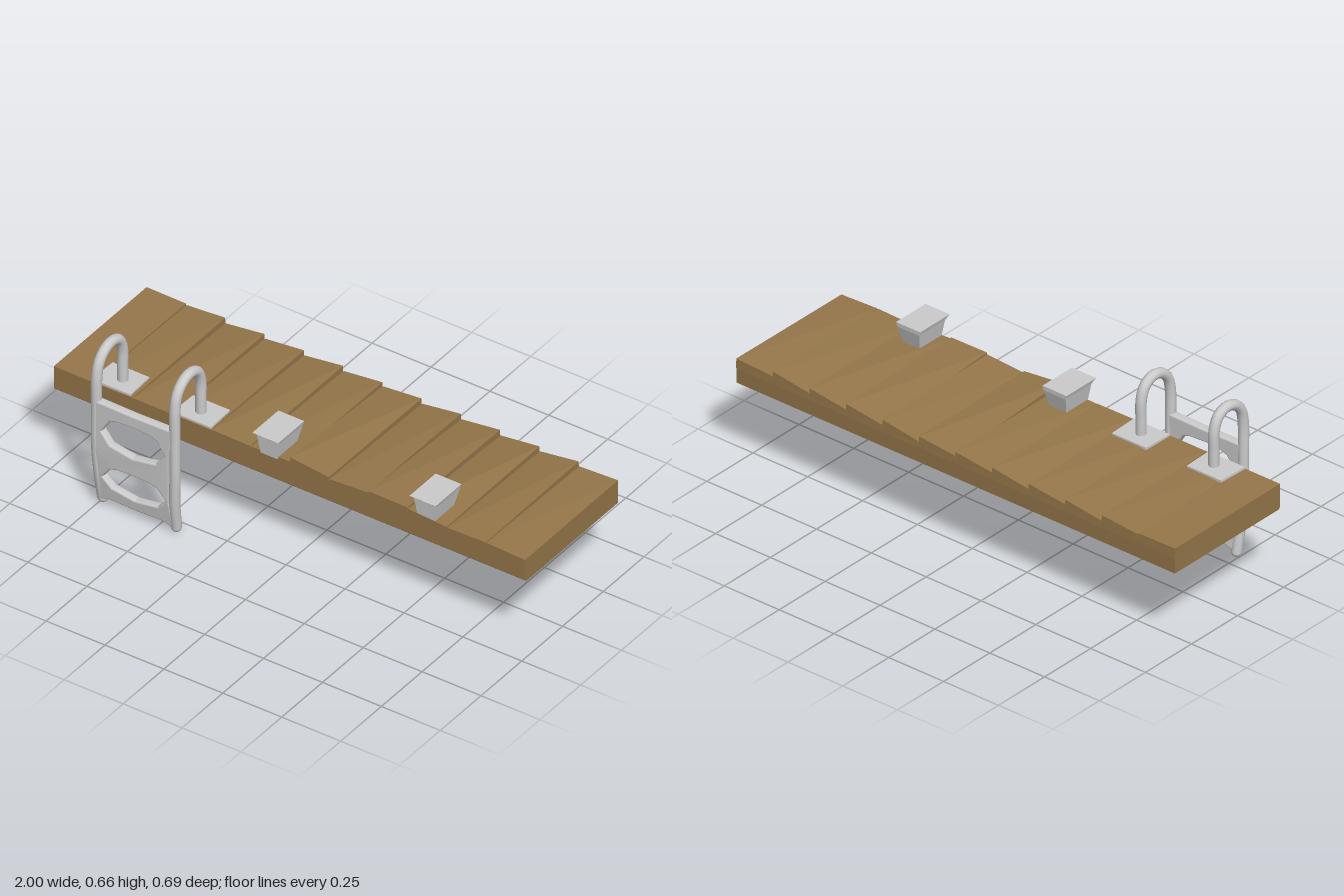
import * as THREE from 'three';

const grey = new THREE.MeshStandardMaterial({ color: 0xcccccc });
const greyFlat = new THREE.MeshStandardMaterial({ color: 0xcccccc, flatShading: true });
const wood = new THREE.MeshStandardMaterial({ color: 0x96774a, flatShading: true });

function add(parent, name, geometry, material) {
  const mesh = new THREE.Mesh(geometry, material);
  mesh.name = name;
  parent.add(mesh);
  return mesh;
}

// Unit box whose vertices are moved by rule(x, y, z), all inputs in -0.5..0.5
function shapedBox(rule, ySegments = 1) {
  const g = new THREE.BoxGeometry(1, 1, 1, 1, ySegments, 1);
  const p = g.attributes.position;
  for (let i = 0; i < p.count; i++) p.setXYZ(i, ...rule(p.getX(i), p.getY(i), p.getZ(i)));
  const flat = g.toNonIndexed();
  flat.computeVertexNormals();
  return flat;
}

// Depth of the ladder's outer rails at a given height
const railZ = y => y < 0.27 ? 0.302 + 0.025 * Math.sin(Math.max(y, 0) / 0.27 * Math.PI / 2) : 0.327;

const FRONT = 0.23, BACK = -0.34;

function createDeck() {
  const deck = new THREE.Group();
  deck.name = 'deck';

  // Solid body with a small chamfer along the lower front edge
  const side = new THREE.Shape([
    [-FRONT, 0.338], [-FRONT + 0.008, 0.33], [-BACK, 0.33], [-BACK, 0.405], [-FRONT, 0.424],
  ].map(([z, y]) => new THREE.Vector2(z, y)));
  const body = new THREE.ExtrudeGeometry(side, { depth: 2, bevelEnabled: false });
  body.rotateY(Math.PI / 2).translate(-1, 0, 0);
  add(deck, 'deckBody', body, wood);

  // Warped planks: heights at front left, front right, back left, back right as seen from the front
  const heights = [
    [0.432, 0.432, 0.432, 0.430], [0.432, 0.434, 0.425, 0.438], [0.434, 0.434, 0.415, 0.437],
    [0.434, 0.434, 0.418, 0.436], [0.436, 0.434, 0.415, 0.438], [0.433, 0.436, 0.417, 0.436],
    [0.455, 0.437, 0.420, 0.435], [0.430, 0.440, 0.414, 0.438], [0.447, 0.445, 0.416, 0.438],
    [0.440, 0.430, 0.415, 0.436], [0.428, 0.432, 0.416, 0.440], [0.432, 0.425, 0.420, 0.428],
  ];
  const width = 2 / heights.length;
  heights.forEach(([fl, fr, bl, br], i) => {
    const x0 = -1 + i * width;
    add(deck, 'plank', shapedBox((x, y, z) => {
      const top = z > 0 ? (x < 0 ? fl : fr) : (x < 0 ? bl : br);
      const gap = (x < 0 && i > 0) ? 0.003 : 0;
      return [x0 + (x + 0.5) * width + gap, y > 0 ? top : 0.39,
        z > 0 ? FRONT : BACK - (y > 0 ? 0 : 0.002)];
    }), wood);
  });
  return deck;
}

function createLadder() {
  const ladder = new THREE.Group();
  ladder.name = 'ladder';

  // Bent handrails with rounded feet, leaning slightly together at the bottom
  for (const s of [-1, 1]) {
    const at = (y, z, dx = 0) => new THREE.Vector3(-0.585 + s * (0.166 - dx), y, z);
    const path = new THREE.CatmullRomCurve3([
      at(0.02, 0.303, 0.01), at(0.13, railZ(0.13), 0.006), at(0.25, 0.326), at(0.4, 0.327),
      at(0.55, 0.326), at(0.6, 0.313), at(0.635, 0.28), at(0.647, 0.235),
      at(0.628, 0.19), at(0.58, 0.169), at(0.5, 0.167), at(0.42, 0.167),
    ]);
    add(ladder, 'handrail', new THREE.TubeGeometry(path, 48, 0.02, 10), grey);
    const foot = add(ladder, 'railFoot', new THREE.SphereGeometry(0.02, 10, 8), grey);
    foot.position.copy(at(0.021, 0.303, 0.01));

    // Mounting plate on the deck
    const cx = s < 0 ? -0.76 : -0.418;
    add(ladder, 'mountingPlate', shapedBox((x, y, z) => [
      cx + x * (z > 0 ? 0.165 : 0.155), y > 0 ? 0.441 : 0.425, z > 0 ? 0.226 : 0.103,
    ]), greyFlat);
  }

  // Rungs flaring into the rails, cut as one panel with two openings
  const v = pts => pts.map(([x, y]) => new THREE.Vector2(-0.587 + x, y));
  const panel = new THREE.Shape(v([
    [-0.155, 0.03], [-0.11, 0.042], [0, 0.038], [0.11, 0.042], [0.155, 0.03],
    [0.165, 0.25], [0.165, 0.45], [0, 0.447], [-0.165, 0.45], [-0.165, 0.25],
  ]));
  for (const [bottom, top] of [[0.073, 0.196], [0.264, 0.405]]) {
    const mid = (bottom + top) / 2;
    panel.holes.push(new THREE.Path(v([
      [0, bottom], [-0.1, bottom + 0.018], [-0.142, mid], [-0.105, top - 0.012], [-0.07, top],
      [0, top + 0.004], [0.07, top], [0.105, top - 0.012], [0.142, mid], [0.1, bottom + 0.018],
    ])));
  }
  const rungs = new THREE.ExtrudeGeometry(panel, {
    depth: 0.014, bevelThickness: 0.01, bevelSize: 0.007, bevelSegments: 3,
  });
  const p = rungs.attributes.position;
  for (let i = 0; i < p.count; i++) p.setZ(i, p.getZ(i) - 0.007 + railZ(p.getY(i)));
  rungs.computeVertexNormals();
  add(ladder, 'rungs', rungs, grey);
  return ladder;
}

// Mooring cleat: narrow foot, flared head, lip overhanging the front
function createCleat(x0, lift, dz) {
  const levels = [
    { y: 0.425, half: 0.036, front: 0.231, back: 0.116 },
    { y: 0.5, half: 0.05, front: 0.236, back: 0.096 },
    { y: 0.517, half: 0.055, front: 0.255, back: 0.095 },
  ];
  const geometry = shapedBox((x, y, z) => {
    const l = levels[Math.round((y + 0.5) * 2)];
    return [x0 + 2 * x * l.half, l.y + lift, (z > 0 ? l.front : l.back) + dz];
  }, 2);
  const cleat = new THREE.Mesh(geometry, greyFlat);
  cleat.name = 'mooringCleat';
  return cleat;
}

export function createModel() {
  const model = new THREE.Group();
  model.name = 'dock';
  model.add(createDeck(), createLadder());
  model.add(createCleat(-0.085, 0, 0), createCleat(0.58, 0.002, -0.003));
  return model;
}
